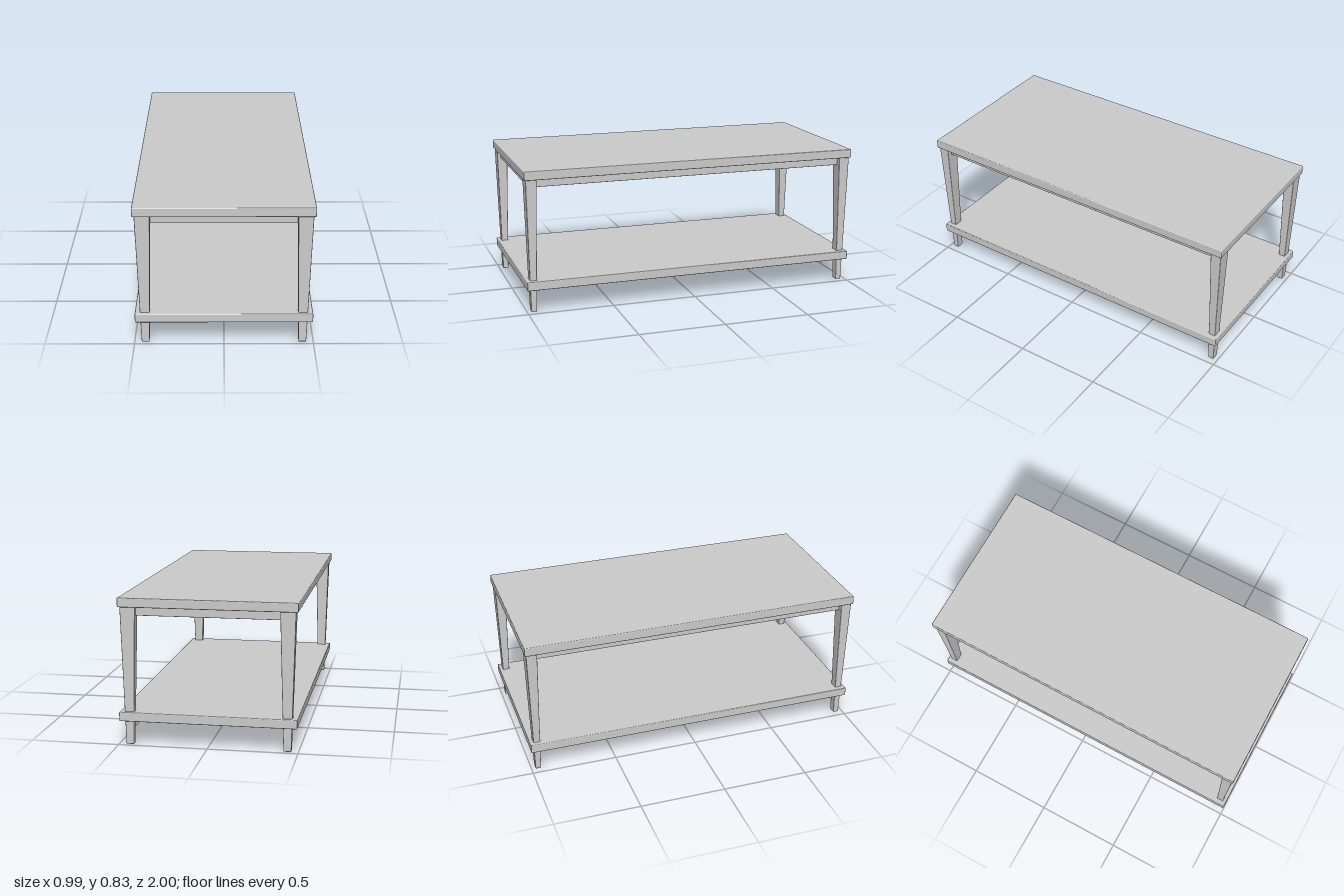
import * as THREE from 'three';
import { RoundedBoxGeometry } from 'three/addons/geometries/RoundedBoxGeometry.js';

const material = new THREE.MeshStandardMaterial({ color: 0xcccccc });

// Softly edged block centred on x and z, spanning y0 to y1
function block(name, w, y0, y1, d, x = 0, z = 0, r = 0.005) {
  const mesh = new THREE.Mesh(new RoundedBoxGeometry(w, y1 - y0, d, 2, r), material);
  mesh.position.set(x, (y0 + y1) / 2, z);
  mesh.name = name;
  return mesh;
}

// Leg that narrows to half its width at the floor
function taperedLeg(name, x, z) {
  const height = 0.776;
  const leg = block(name, 0.086, 0, height, 0.064, x, z, 0.004);
  const p = leg.geometry.attributes.position;
  for (let i = 0; i < p.count; i++) {
    const s = 0.75 + 0.5 * (p.getY(i) / height);
    p.setX(i, p.getX(i) * s);
    p.setZ(i, p.getZ(i) * s);
  }
  return leg;
}

export function createModel() {
  const table = new THREE.Group();
  table.name = 'coffeeTable';
  const legX = 0.439, legZ = 0.96;

  // Two equal boards
  table.add(block('tableTop', 0.988, 0.774, 0.826, 2));
  table.add(block('lowerShelf', 0.988, 0.135, 0.187, 2));

  // Four legs
  for (const sx of [-1, 1]) {
    for (const sz of [-1, 1]) {
      const name = (sz > 0 ? 'front' : 'back') + (sx > 0 ? 'Left' : 'Right') + 'Leg';
      table.add(taperedLeg(name, sx * legX, sz * legZ));
    }
  }

  // Apron rails between the legs, under the top
  for (const s of [-1, 1]) {
    table.add(block(s > 0 ? 'frontApron' : 'backApron', 0.82, 0.726, 0.776, 0.022, 0, s * legZ, 0.003));
    table.add(block(s > 0 ? 'leftApron' : 'rightApron', 0.026, 0.726, 0.776, 1.88, s * legX, 0, 0.003));
  }
  return table;
}
